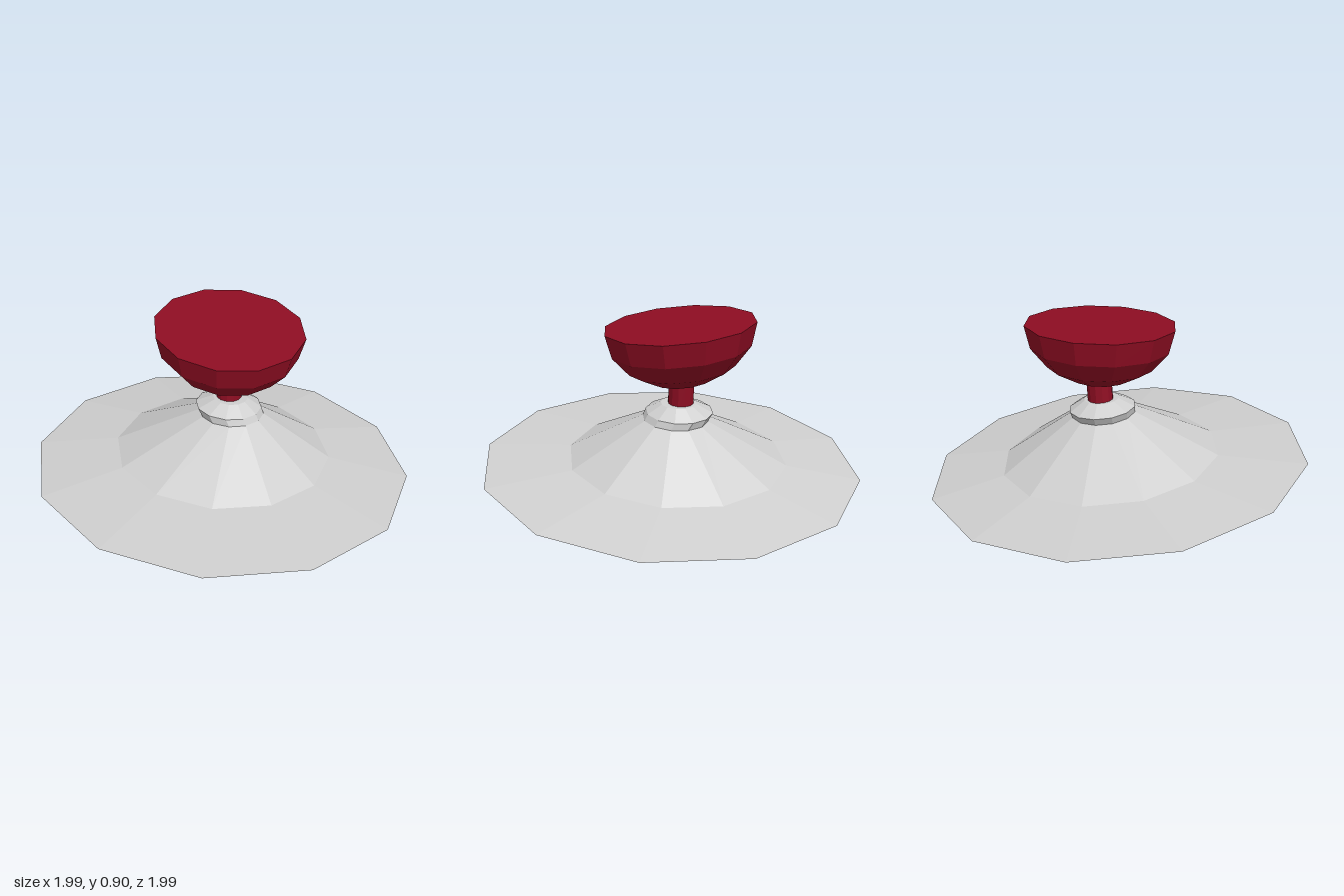
import * as THREE from 'three';

const SIDES = 12;
const TURN = 0.078; // slight twist of the base polygons

// A section is [cx, cy, cz, radius, slopeX, slopeZ]: a 12-sided ring on a tilted plane.
function corner([cx, cy, cz, r, sx, sz], k, turn) {
  const a = turn + (k / SIDES) * Math.PI * 2;
  const x = r * Math.sin(a), z = r * Math.cos(a);
  return [cx + x, cy + sx * x + sz * z, cz + z];
}

// Skin between successive sections (listed from bottom to top), for a range of sides.
function loft(sections, turn = 0, first = 0, count = SIDES) {
  const p = [];
  for (let i = 0; i < sections.length - 1; i++) {
    const low = sections[i], high = sections[i + 1];
    for (let k = first; k < first + count; k++) {
      const a = corner(low, k, turn), b = corner(low, k + 1, turn);
      const c = corner(high, k + 1, turn), d = corner(high, k, turn);
      if (low[3] > 0) p.push(...a, ...b, ...c);
      if (high[3] > 0) p.push(...a, ...c, ...d);
      else if (low[3] === 0) p.push(...a, ...c, ...d);
    }
  }
  const g = new THREE.BufferGeometry();
  g.setAttribute('position', new THREE.Float32BufferAttribute(p, 3));
  g.computeVertexNormals();
  return g;
}

export function createModel() {
  const model = new THREE.Group();
  const grey = new THREE.MeshStandardMaterial({ color: 0xcfcfcf, flatShading: true, side: THREE.DoubleSide });
  grey.name = 'light grey';
  const red = new THREE.MeshStandardMaterial({ color: 0x8e0d22, flatShading: true, side: THREE.DoubleSide });
  red.name = 'deep red';

  const add = (name, geometry, material) => {
    const mesh = new THREE.Mesh(geometry, material);
    mesh.name = name;
    model.add(mesh);
  };

  // Leaning, hollow base: wide brim, cone and collar
  const rim = [0, 0.0975, 0, 1, -0.095, 0.01];
  const brimInner = [0.035, 0.145, -0.025, 0.577, -0.095, 0.01];
  const coneTop = [0.08, 0.372, 0, 0.17, -0.09, 0.03];
  const collarEdge = [0.08, 0.411, -0.022, 0.175, -0.1, 0];
  const collarTop = [0.087, 0.456, -0.015, 0.092, -0.08, 0];
  const collarCentre = [0.088, 0.458, -0.025, 0, 0, 0];
  add('brim', loft([rim, brimInner], TURN), grey);
  add('cone', loft([brimInner, coneTop], TURN), grey);
  add('collar', loft([coneTop, collarEdge, collarTop, collarCentre], TURN), grey);

  // Red panel lining one side of the cone from inside
  const inset = ([x, y, z, r, sx, sz]) => [x, y - 0.004, z, r - 0.002, sx, sz];
  add('innerPanel', loft([inset(brimInner), inset(coneTop)], TURN, 6, 1), red);

  // Neck
  add('neck', loft([
    [0.087, 0.44, -0.027, 0.067, -0.08, 0],
    [0.096, 0.57, -0.027, 0.066, -0.08, 0],
  ]), red);

  // Bowl: flattened half sphere leaning to the front, closed by a flat top
  const bowl = [];
  const depth = 0.315, radius = 0.39, lean = -0.087;
  for (let i = 0; i <= 4; i++) {
    const a = (1 - i / 4) * Math.PI / 2;
    const drop = depth * Math.sin(a);
    const r = i === 0 ? 0 : radius * Math.cos(a);
    bowl.push([0.086, 0.868 - drop, -0.022 + lean * drop * 0.5, r, 0, lean]);
  }
  add('bowl', loft(bowl), red);
  const top = bowl[4];
  add('bowlTop', loft([top, [top[0], top[1], top[2], 0, 0, 0]]), red);

  return model;
}
